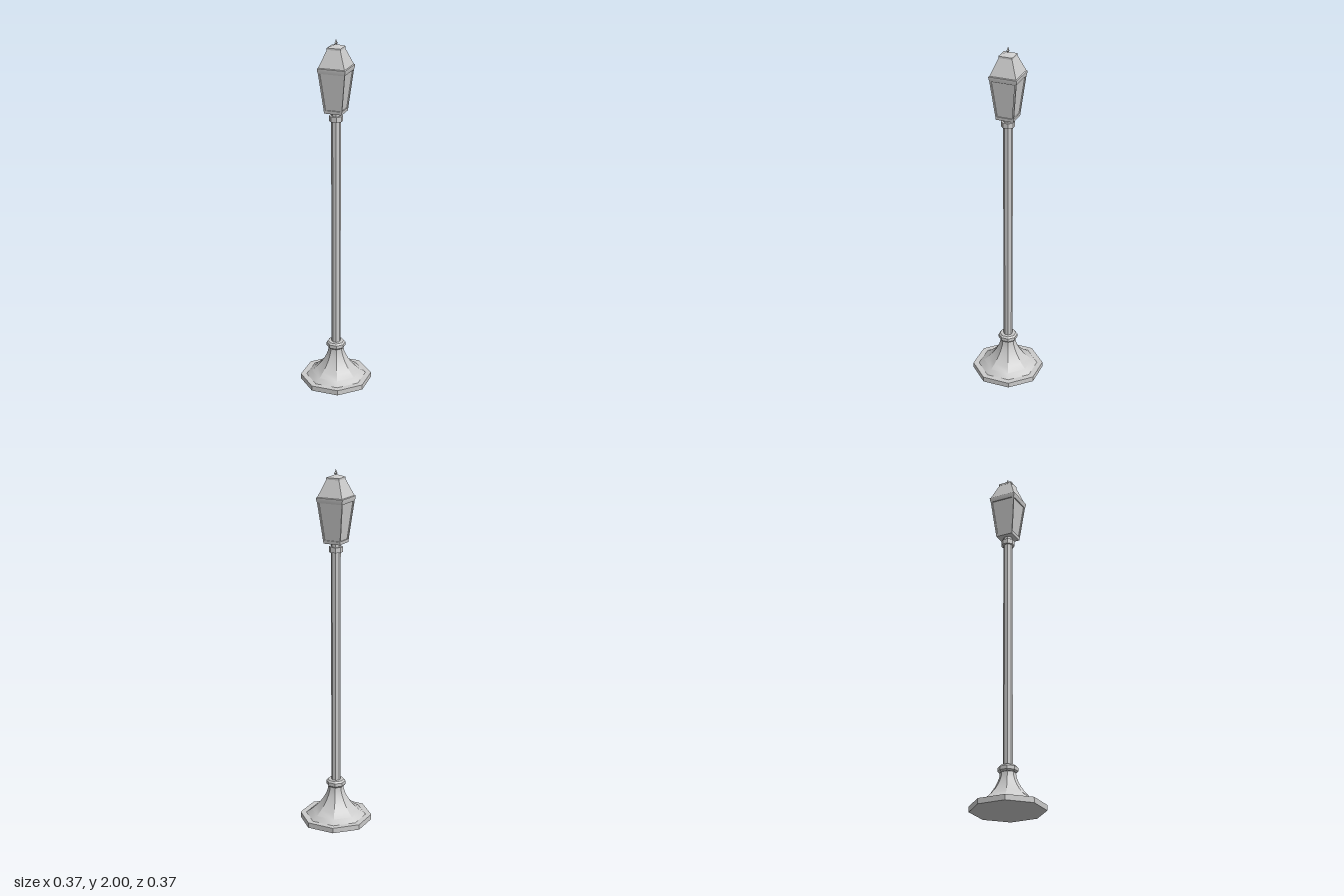
import * as THREE from 'three';
import { toCreasedNormals } from 'three/addons/utils/BufferGeometryUtils.js';

const metal = new THREE.MeshStandardMaterial({ color: 0xcccccc });
metal.name = 'paleGreyMetal';

export function createModel() {
  const model = new THREE.Group();
  model.name = 'streetLamp';

  const add = (name, geometry, parent = model) => {
    const mesh = new THREE.Mesh(geometry, metal);
    mesh.name = name;
    parent.add(mesh);
    return mesh;
  };

  // Prism-like solid with flats facing the axes; profile is [half width, y] from bottom to top.
  const turned = (name, sides, profile, parent) => {
    const k = 1 / Math.cos(Math.PI / sides);
    const points = profile.map(([r, y]) => new THREE.Vector2(r * k, y));
    const big = new THREE.LatheGeometry(points, sides, Math.PI / sides).scale(100, 100, 100);
    const geometry = toCreasedNormals(big, Math.PI / 6); // creased at large scale to keep fine detail apart
    return add(name, geometry.scale(0.01, 0.01, 0.01), parent);
  };

  // Base
  turned('plinth', 8, [[0, 0], [0.187, 0], [0.187, 0.03], [0, 0.03]]);
  turned('flaredFoot', 8, [
    [0.157, 0.03], [0.128, 0.053], [0.103, 0.077], [0.081, 0.103],
    [0.063, 0.131], [0.05, 0.158], [0.042, 0.182], [0.039, 0.207],
  ]);
  turned('lowerCollar', 8, [
    [0, 0.205], [0.043, 0.205], [0.05, 0.214], [0.05, 0.233], [0.042, 0.243], [0, 0.243],
  ]);

  // Pole and its top collar
  turned('pole', 8, [[0.024, 0.24], [0.024, 1.61]]);
  turned('upperCollar', 8, [[0, 1.556], [0.035, 1.556], [0.035, 1.585], [0, 1.585]]);

  // Lantern, widening upwards
  const lantern = new THREE.Group();
  lantern.name = 'lantern';
  model.add(lantern);
  const y0 = 1.605, y1 = 1.838;
  const half = y => 0.049 + (y - y0) * 0.112;

  turned('lanternFloor', 4, [
    [0, y0], [half(y0), y0], [half(y0 + 0.018), y0 + 0.018], [0, y0 + 0.018],
  ], lantern);
  turned('panes', 4, [[half(y0) - 0.006, y0], [half(y1) - 0.006, y1]], lantern);

  // Sloping corner posts
  for (const sx of [-1, 1]) for (const sz of [-1, 1]) {
    const geometry = new THREE.BoxGeometry(1, 1, 1).toNonIndexed();
    const p = geometry.attributes.position;
    for (let i = 0; i < p.count; i++) {
      const y = p.getY(i) > 0 ? y1 : y0;
      const place = (v, s) => s * (half(y) - (v * s > 0 ? 0 : 0.009));
      p.setXYZ(i, place(p.getX(i), sx), y, place(p.getZ(i), sz));
    }
    geometry.computeVertexNormals();
    add('cornerPost', geometry, lantern);
  }

  // Roof, cap and finial
  turned('eaves', 4, [
    [0, 1.825], [half(1.825), 1.825], [0.077, 1.84], [0.078, 1.852], [0.073, 1.855], [0, 1.855],
  ], lantern);
  turned('roof', 4, [[0.073, 1.855], [0.037, 1.946]], lantern);
  turned('cap', 4, [[0, 1.946], [0.038, 1.946], [0.038, 1.956], [0.007, 1.969], [0, 1.969]], lantern);
  turned('finial', 4, [[0.003, 1.966], [0.003, 1.972], [0.007, 1.977], [0.004, 1.983], [0, 2]], lantern);

  return model;
}
